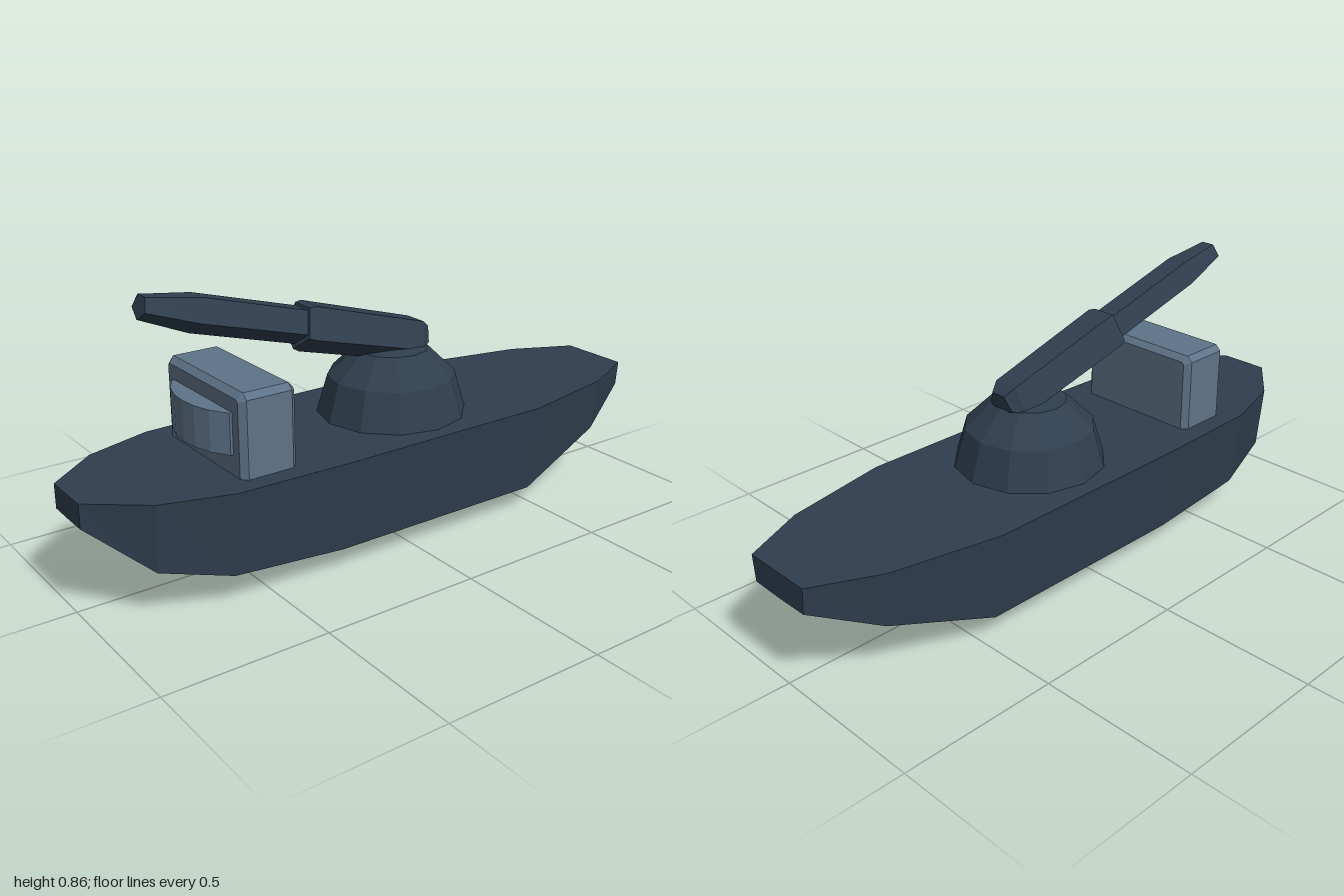
import * as THREE from 'three';

// Lofts five-sided sections, listed from back to front:
// [z, top half width, top y, side half width, side y, keel y]
function loft(sections) {
  const rings = sections.map(([z, tw, ty, sw, sy, ky]) => [
    [tw, ty, z], [-tw, ty, z], [-sw, sy, z], [0, ky, z], [sw, sy, z],
  ]);
  const pos = [];
  const tri = (a, b, c) => pos.push(...a, ...b, ...c);
  for (let i = 0; i < rings.length - 1; i++) {
    for (let j = 0; j < 5; j++) {
      const k = (j + 1) % 5;
      const a = rings[i][j], b = rings[i][k], c = rings[i + 1][k], d = rings[i + 1][j];
      tri(a, b, c);
      tri(a, c, d);
    }
  }
  const back = rings[0], front = rings[rings.length - 1];
  for (let j = 1; j < 4; j++) {
    tri(front[0], front[j], front[j + 1]);
    tri(back[0], back[j + 1], back[j]);
  }
  const g = new THREE.BufferGeometry();
  g.setAttribute('position', new THREE.Float32BufferAttribute(pos, 3));
  g.computeVertexNormals();
  return g;
}

// Gives every facet its own normal
function faceted(g) {
  const f = g.index ? g.toNonIndexed() : g;
  f.computeVertexNormals();
  return f;
}

export function createModel() {
  const model = new THREE.Group();
  model.name = 'gunboat';
  const navy = new THREE.MeshStandardMaterial({ color: 0x2f3e4e });
  navy.name = 'dark navy';
  const steel = new THREE.MeshStandardMaterial({ color: 0x5e7388 });
  steel.name = 'steel blue';

  const add = (parent, name, geometry, material) => {
    const mesh = new THREE.Mesh(geometry, material);
    mesh.name = name;
    parent.add(mesh);
    return mesh;
  };

  // Hull with flat deck, chine and shallow V bottom
  const deck = 0.362;
  add(model, 'hull', loft([
    [-1, 0.117, deck, 0.11, 0.28, 0.278],
    [-0.8, 0.213, deck, 0.19, 0.185, 0.165],
    [-0.46, 0.283, deck, 0.246, 0.075, 0.002],
    [0.27, 0.283, deck, 0.246, 0.075, 0.002],
    [0.63, 0.272, deck, 0.238, 0.1, 0.038],
    [0.84, 0.208, deck, 0.19, 0.155, 0.132],
    [1, 0.08, deck, 0.08, 0.288, 0.287],
  ]), navy);

  // Domed turret
  const profile = [[0.235, 0.35], [0.235, deck], [0.2, 0.482], [0.115, 0.565], [0, 0.585]]
    .map(([r, y]) => new THREE.Vector2(r, y));
  const dome = add(model, 'turretDome', faceted(new THREE.LatheGeometry(profile, 12)), navy);
  dome.position.z = -0.086;

  // Raised gun: breech housing and tapered barrel
  const gun = new THREE.Group();
  gun.name = 'gun';
  gun.position.set(0, 0.69, 0.25);
  gun.rotation.x = -0.27;
  model.add(gun);
  add(gun, 'gunBreech', loft([
    [-0.465, 0.025, 0.05, 0.045, 0.005, -0.02],
    [-0.43, 0.04, 0.065, 0.07, -0.02, -0.07],
    [-0.015, 0.044, 0.071, 0.078, -0.022, -0.074],
    [0.006, 0.038, 0.064, 0.07, -0.02, -0.068],
  ]), navy);
  add(gun, 'gunBarrel', loft([
    [-0.02, 0.033, 0.055, 0.058, -0.012, -0.053],
    [0.36, 0.033, 0.056, 0.058, -0.012, -0.052],
    [0.523, 0.022, 0.036, 0.04, -0.003, -0.03],
  ]), navy);

  // Cabin block with chamfered edges
  const c = 0.018, w = 0.197, y0 = 0.35, y1 = 0.592;
  const outline = new THREE.Shape([
    [w, y0], [w, y1 - c * 0.4], [w - c * 0.4, y1], [-w + c * 0.4, y1], [-w, y1 - c * 0.4], [-w, y0],
  ].map(([x, y]) => new THREE.Vector2(x, y)));
  const cabin = add(model, 'cabin', faceted(new THREE.ExtrudeGeometry(outline, {
    depth: 0.144, bevelEnabled: true, bevelSegments: 1, bevelSize: c, bevelThickness: c,
  })), steel);
  cabin.position.z = 0.418;

  // Bowed window bay on the cabin front
  const bow = [[-0.165, 0.57], [0.165, 0.57], [0.165, 0.588], [0.112, 0.621],
    [0.056, 0.638], [0, 0.643], [-0.056, 0.638], [-0.112, 0.621], [-0.165, 0.588]];
  const bay = new THREE.Shape(bow.map(([x, z]) => new THREE.Vector2(x, -z)));
  const bayGeometry = new THREE.ExtrudeGeometry(bay, { depth: 0.124, bevelEnabled: false });
  bayGeometry.rotateX(-Math.PI / 2);
  add(model, 'windowBay', faceted(bayGeometry), steel).position.y = 0.424;

  return model;
}
